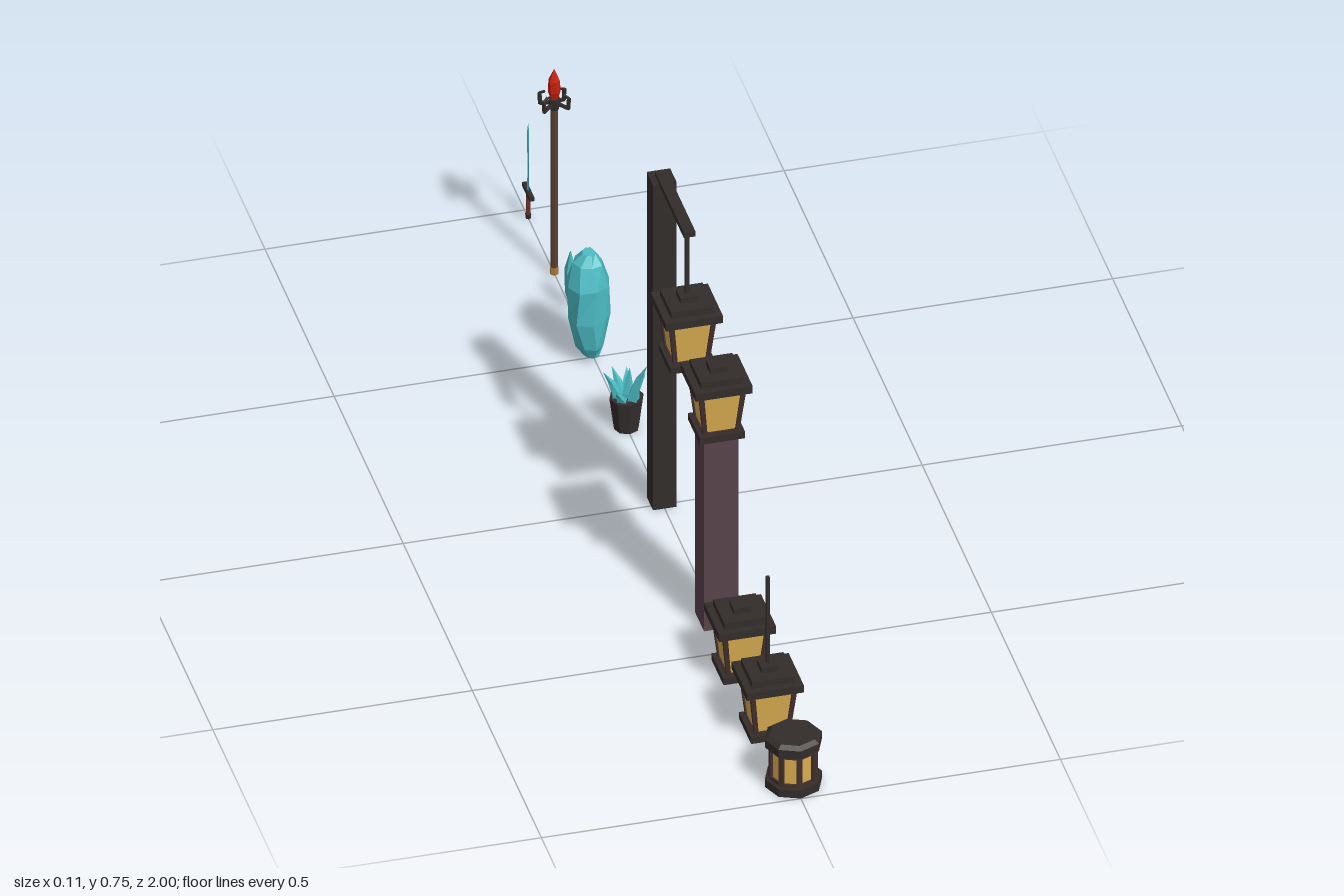
import * as THREE from 'three';

const mat = (color) => new THREE.MeshStandardMaterial({ color, flatShading: true });
const M = {
  iron: mat(0x322d2b), frame: mat(0x43302c), glass: mat(0xd9ac50), stone: mat(0x57434a),
  crystal: mat(0x4cbcc4), red: mat(0xc8200c), wood: mat(0x5a4030), brass: mat(0xa87c3c),
  grip: mat(0x6e3428), pot: mat(0x352e2e),
};

function add(parent, name, geometry, material, x = 0, y = 0, z = 0) {
  const m = new THREE.Mesh(geometry, material);
  m.name = name;
  m.position.set(x, y, z);
  parent.add(m);
  return m;
}

// Box standing on y0
const block = (p, name, m, w, d, y0, y1, x = 0, z = 0) =>
  add(p, name, new THREE.BoxGeometry(w, y1 - y0, d), m, x, (y0 + y1) / 2, z);

// Prism or cone standing on y0
const drum = (p, name, m, rTop, rBottom, y0, y1, sides) =>
  add(p, name, new THREE.CylinderGeometry(rTop, rBottom, y1 - y0, sides), m, 0, (y0 + y1) / 2, 0);

// Straight bar between two points
function bar(p, name, m, a, b, r, sides = 4) {
  const A = new THREE.Vector3(...a), B = new THREE.Vector3(...b);
  const dir = B.clone().sub(A);
  const mesh = add(p, name, new THREE.CylinderGeometry(r, r, dir.length(), sides), m);
  mesh.position.copy(A).add(B).multiplyScalar(0.5);
  mesh.quaternion.setFromUnitVectors(new THREE.Vector3(0, 1, 0), dir.normalize());
  return mesh;
}

// Closed skin over rings of [centre x, y, centre z, radius x, radius z]
function loft(rings, sides, wobble = 0) {
  const pos = [], idx = [];
  rings.forEach(([cx, y, cz, rx, rz], k) => {
    for (let i = 0; i < sides; i++) {
      const a = (i + 0.25 * (k % 2)) / sides * Math.PI * 2;
      const f = 1 + wobble * Math.sin(i * 2.4 + k * 1.3);
      pos.push(cx + Math.sin(a) * rx * f, y, cz + Math.cos(a) * rz * f);
    }
  });
  for (let k = 0; k < rings.length - 1; k++) {
    for (let i = 0; i < sides; i++) {
      const a = k * sides + i, b = k * sides + (i + 1) % sides;
      idx.push(a, b, b + sides, a, b + sides, a + sides);
    }
  }
  const last = (rings.length - 1) * sides;
  for (let i = 1; i < sides - 1; i++) idx.push(0, i + 1, i, last, last + i, last + i + 1);
  const g = new THREE.BufferGeometry();
  g.setAttribute('position', new THREE.Float32BufferAttribute(pos, 3));
  g.setIndex(idx);
  g.computeVertexNormals();
  return g;
}

// Square lantern: plate, tapered glass, frame, stepped roof
function squareLantern(name) {
  const g = new THREE.Group();
  g.name = name;
  block(g, 'base', M.iron, 0.087, 0.087, 0, 0.0145);
  const glass = drum(g, 'glass', M.glass, 0.0415 * Math.SQRT2, 0.032 * Math.SQRT2, 0.0145, 0.107, 4);
  glass.rotation.y = Math.PI / 4;
  for (let i = 0; i < 4; i++) {
    const side = new THREE.Group();
    side.name = 'frameSide';
    side.rotation.y = i * Math.PI / 2;
    g.add(side);
    const s = new THREE.Shape([[-0.035, 0], [0.035, 0], [0.045, 0.0925], [-0.045, 0.0925]]
      .map(([x, y]) => new THREE.Vector2(x, y)));
    s.holes.push(new THREE.Path([[-0.027, 0.004], [-0.035, 0.086], [0.035, 0.086], [0.027, 0.004]]
      .map(([x, y]) => new THREE.Vector2(x, y))));
    const f = add(side, 'frame', new THREE.ExtrudeGeometry(s, { depth: 0.005, bevelEnabled: false }),
      M.frame, 0, 0.0145, 0.030);
    f.rotation.x = Math.atan2(0.01, 0.0925);
  }
  block(g, 'roofEaves', M.iron, 0.11, 0.11, 0.107, 0.123);
  block(g, 'roofStep', M.iron, 0.082, 0.082, 0.123, 0.137);
  block(g, 'roofCap', M.iron, 0.033, 0.033, 0.137, 0.149);
  return g;
}

// Eight-sided lantern
function octagonLantern() {
  const g = new THREE.Group();
  g.name = 'octagonLantern';
  drum(g, 'base', M.iron, 0.055, 0.055, 0, 0.017, 8);
  drum(g, 'lowerRim', M.frame, 0.047, 0.047, 0.017, 0.024, 8);
  drum(g, 'glass', M.glass, 0.043, 0.043, 0.02, 0.085, 8);
  drum(g, 'upperRim', M.frame, 0.047, 0.047, 0.08, 0.089, 8);
  drum(g, 'roof', M.iron, 0.055, 0.055, 0.089, 0.106, 8);
  drum(g, 'roofTop', M.iron, 0.046, 0.055, 0.106, 0.113, 8);
  for (let i = 0; i < 8; i++) {
    const a = i * Math.PI / 4;
    const post = block(g, 'post', M.frame, 0.010, 0.007, 0.017, 0.089, Math.sin(a) * 0.0425, Math.cos(a) * 0.0425);
    post.rotation.y = a;
  }
  return g;
}

// Pot of curved crystal shards
function crystalPot() {
  const g = new THREE.Group();
  g.name = 'crystalPot';
  drum(g, 'pot', M.pot, 0.033, 0.024, 0, 0.07, 8);
  const tips = [[0.028, 0.16, 0.042], [-0.028, 0.1, 0.03], [0.042, 0.10, -0.02], [-0.042, 0.125, -0.008],
    [0.012, 0.105, -0.044], [0.005, 0.135, 0.004], [-0.02, 0.12, -0.03]];
  tips.forEach(([x, y, z]) => {
    const rings = [0, 0.35, 0.7, 1].map((t) => {
      const bend = 0.3 + 0.7 * t * t, r = [0.014, 0.012, 0.007, 0.0006][Math.round(t * 3)];
      return [x * bend, 0.05 + (y - 0.05) * t, z * bend, r, r];
    });
    add(g, 'shard', loft(rings, 4), M.crystal);
  });
  return g;
}

// Staff with four hooked prongs around a red gem
function staff() {
  const g = new THREE.Group();
  g.name = 'staff';
  drum(g, 'pole', M.wood, 0.007, 0.007, 0.012, 0.38, 6);
  drum(g, 'foot', M.brass, 0.0085, 0.0085, 0, 0.015, 6);
  drum(g, 'collar', M.iron, 0.012, 0.009, 0.372, 0.396, 6);
  for (const a of [0.6, Math.PI - 0.6, Math.PI + 0.6, -0.6]) {
    const at = (r, y) => [Math.cos(a) * r, y, Math.sin(a) * r];
    bar(g, 'prongArm', M.iron, at(0.006, 0.385), at(0.028, 0.379), 0.004);
    bar(g, 'prongUpright', M.iron, at(0.028, 0.377), at(0.029, 0.402), 0.004);
    bar(g, 'prongHook', M.iron, at(0.030, 0.401), at(0.019, 0.407), 0.003);
  }
  add(g, 'gem', loft([[0, 0.39, 0, 0.006, 0.006], [0, 0.412, 0, 0.012, 0.012],
    [0, 0.437, 0, 0.011, 0.011], [0, 0.46, 0, 0.001, 0.001]], 6), M.red);
  return g;
}

// Slim sword, point up
function sword() {
  const g = new THREE.Group();
  g.name = 'sword';
  add(g, 'blade', loft([[0, 0.06, 0, 0.002, 0.006], [0, 0.195, 0, 0.002, 0.005],
    [0, 0.213, 0, 0.0003, 0.0005]], 4), M.crystal);
  block(g, 'guard', M.iron, 0.009, 0.054, 0.055, 0.064);
  drum(g, 'grip', M.grip, 0.0042, 0.0042, 0.008, 0.056, 6);
  drum(g, 'pommel', M.iron, 0.006, 0.005, 0, 0.01, 6);
  return g;
}

export function createModel() {
  const root = new THREE.Group();
  root.name = 'lanternAndCrystalSet';
  const place = (g, z, y = 0) => { g.position.set(0, y, z); root.add(g); return g; };

  place(octagonLantern(), 0.945);
  const rodLantern = place(squareLantern('rodLantern'), 0.76);
  block(rodLantern, 'rod', M.iron, 0.007, 0.007, 0.149, 0.342);
  place(squareLantern('standingLantern'), 0.56);

  // Lantern on a stone pillar
  block(root, 'pillar', M.stone, 0.066, 0.066, 0, 0.43, 0, 0.39);
  place(squareLantern('pillarLantern'), 0.39, 0.43);

  // Lantern hanging from a post
  place(squareLantern('hangingLantern'), 0.175, 0.446);
  block(root, 'hangingRod', M.iron, 0.008, 0.008, 0.59, 0.736, 0, 0.175);
  block(root, 'postArm', M.iron, 0.022, 0.21, 0.733, 0.745, 0, 0.09);
  block(root, 'post', M.iron, 0.045, 0.045, 0, 0.735, 0, -0.008);

  place(crystalPot(), -0.262);

  // Free-standing crystals
  const big = [[-0.006, 0.014, 0.004, 0.014, 0.016], [-0.01, 0.04, 0, 0.029, 0.032], [-0.012, 0.10, 0, 0.041, 0.040],
    [-0.013, 0.175, 0, 0.042, 0.042], [-0.012, 0.222, -0.003, 0.028, 0.032], [-0.01, 0.241, -0.003, 0.012, 0.016]];
  add(root, 'bigCrystal', loft(big, 8, 0.07), M.crystal, 0, 0, -0.495);
  const small = [[0, 0.002, 0, 0.001, 0.004], [0, 0.035, 0, 0.010, 0.016], [0, 0.085, 0, 0.011, 0.018],
    [0, 0.128, 0, 0.001, 0.002]];
  add(root, 'smallCrystal', loft(small, 6), M.crystal, 0, 0, -0.667);

  place(staff(), -0.785);
  place(sword(), -0.973);
  return root;
}
